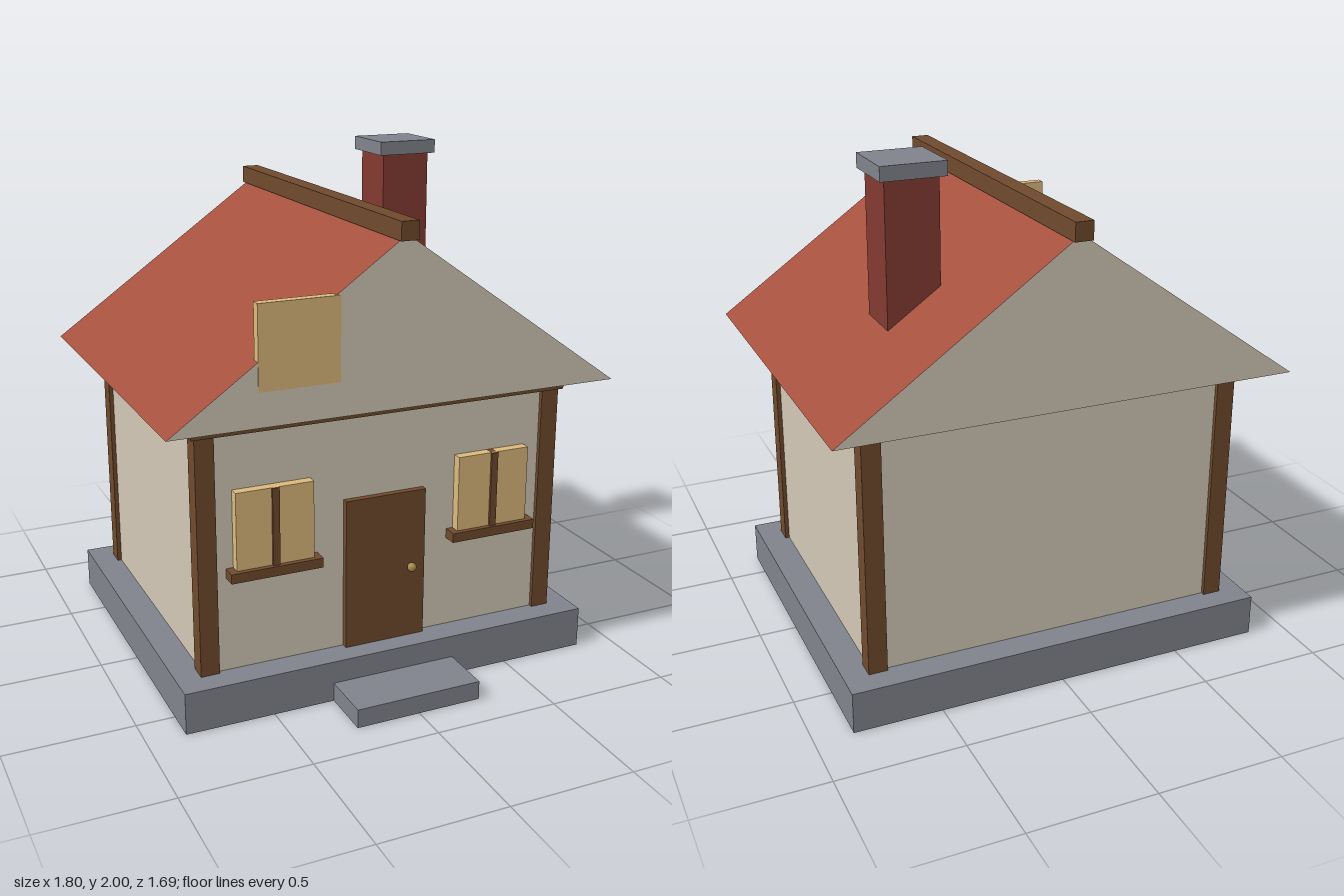
import * as THREE from 'three';

const mat = (color, extra = {}) => {
  const m = new THREE.MeshStandardMaterial(extra);
  m.color.set(color);
  return m;
};
const WALL = mat(0xd2c8b6), WOOD = mat(0x6f4a2d), STONE = mat(0x80838c), ROOF = mat(0xa5503f),
  BRICK = mat(0x833a32), GLASS = mat(0xdcb97c), BRASS = mat(0xa88a4c);

export function createModel() {
  const house = new THREE.Group();
  house.name = 'cottage';

  const add = (parent, name, geometry, material) => {
    const mesh = new THREE.Mesh(geometry, material);
    mesh.name = name;
    parent.add(mesh);
    return mesh;
  };
  // Box given by its extents on each axis
  const box = (parent, name, material, [x0, x1], [y0, y1], [z0, z1]) => {
    const mesh = add(parent, name, new THREE.BoxGeometry(x1 - x0, y1 - y0, z1 - z0), material);
    mesh.position.set((x0 + x1) / 2, (y0 + y1) / 2, (z0 + z1) / 2);
    return mesh;
  };

  // Foundation and entrance step
  box(house, 'foundation', STONE, [-0.85, 0.85], [0, 0.165], [-0.77, 0.635]);
  box(house, 'step', STONE, [-0.257, 0.257], [0, 0.075], [0.6, 0.85]);

  // Walls, corner posts and the beam under the eaves
  const zMid = -0.068;
  box(house, 'walls', WALL, [-0.738, 0.738], [0.165, 1.13], [zMid - 0.592, zMid + 0.592]);
  for (const sx of [-1, 1]) for (const sz of [-1, 1]) {
    const x = sx * 0.718, z = zMid + sz * 0.571;
    box(house, 'cornerPost', WOOD, [x - 0.037, x + 0.037], [0.165, 1.12], [z - 0.037, z + 0.037]);
  }
  box(house, 'eavesBeam', WOOD, [-0.77, 0.77], [1.1, 1.159], [-0.69, 0.553]);

  // Door with knob
  box(house, 'door', WOOD, [-0.168, 0.168], [0.165, 0.773], [0.51, 0.55]);
  add(house, 'doorKnob', new THREE.SphereGeometry(0.018, 16, 12), BRASS).position.set(0.108, 0.46, 0.562);

  // Front windows
  for (const sx of [-1, 1]) {
    const w = new THREE.Group();
    w.name = 'window';
    w.position.x = sx * 0.459;
    box(w, 'pane', GLASS, [-0.154, 0.154], [0.575, 0.883], [0.51, 0.563]);
    box(w, 'mullion', WOOD, [-0.014, 0.014], [0.575, 0.883], [0.51, 0.572]);
    box(w, 'sill', WOOD, [-0.183, 0.183], [0.54, 0.578], [0.51, 0.583]);
    house.add(w);
  }

  // Roof prism: plastered gables, tiled slopes, timber soffit
  const eave = 1.16, apex = 1.795, half = 0.9, zFront = 0.685, zBack = -0.825;
  const quad = (a, b, c, d) => {
    const g = new THREE.BufferGeometry();
    g.setAttribute('position', new THREE.Float32BufferAttribute([a, b, c, a, c, d].flat(), 3));
    g.computeVertexNormals();
    return g;
  };
  const FL = [-half, eave, zFront], FR = [half, eave, zFront], FT = [0, apex, zFront];
  const BL = [-half, eave, zBack], BR = [half, eave, zBack], BT = [0, apex, zBack];
  add(house, 'roofSlope', quad(FR, BR, BT, FT), ROOF);
  add(house, 'roofSlope', quad(BL, FL, FT, BT), ROOF);
  add(house, 'soffit', quad(BL, BR, FR, FL), WOOD);
  const gable = new THREE.ShapeGeometry(new THREE.Shape([
    new THREE.Vector2(-half, eave), new THREE.Vector2(half, eave), new THREE.Vector2(0, apex)]));
  add(house, 'frontGable', gable, WALL).position.z = zFront;
  const rear = add(house, 'rearGable', gable, WALL);
  rear.position.z = zBack;
  rear.rotation.y = Math.PI;
  box(house, 'ridgeBeam', WOOD, [-0.035, 0.035], [1.775, 1.845], [-0.845, 0.705]);

  // Attic window set into the front gable
  box(house, 'atticWindow', GLASS, [-0.565, -0.255], [1.29, 1.603], [0.65, 0.688]);

  // Chimney
  box(house, 'chimney', BRICK, [0.355, 0.56], [1.25, 1.945], [-0.43, -0.225]);
  box(house, 'chimneyCap', STONE, [0.333, 0.583], [1.945, 2], [-0.455, -0.205]);

  return house;
}
